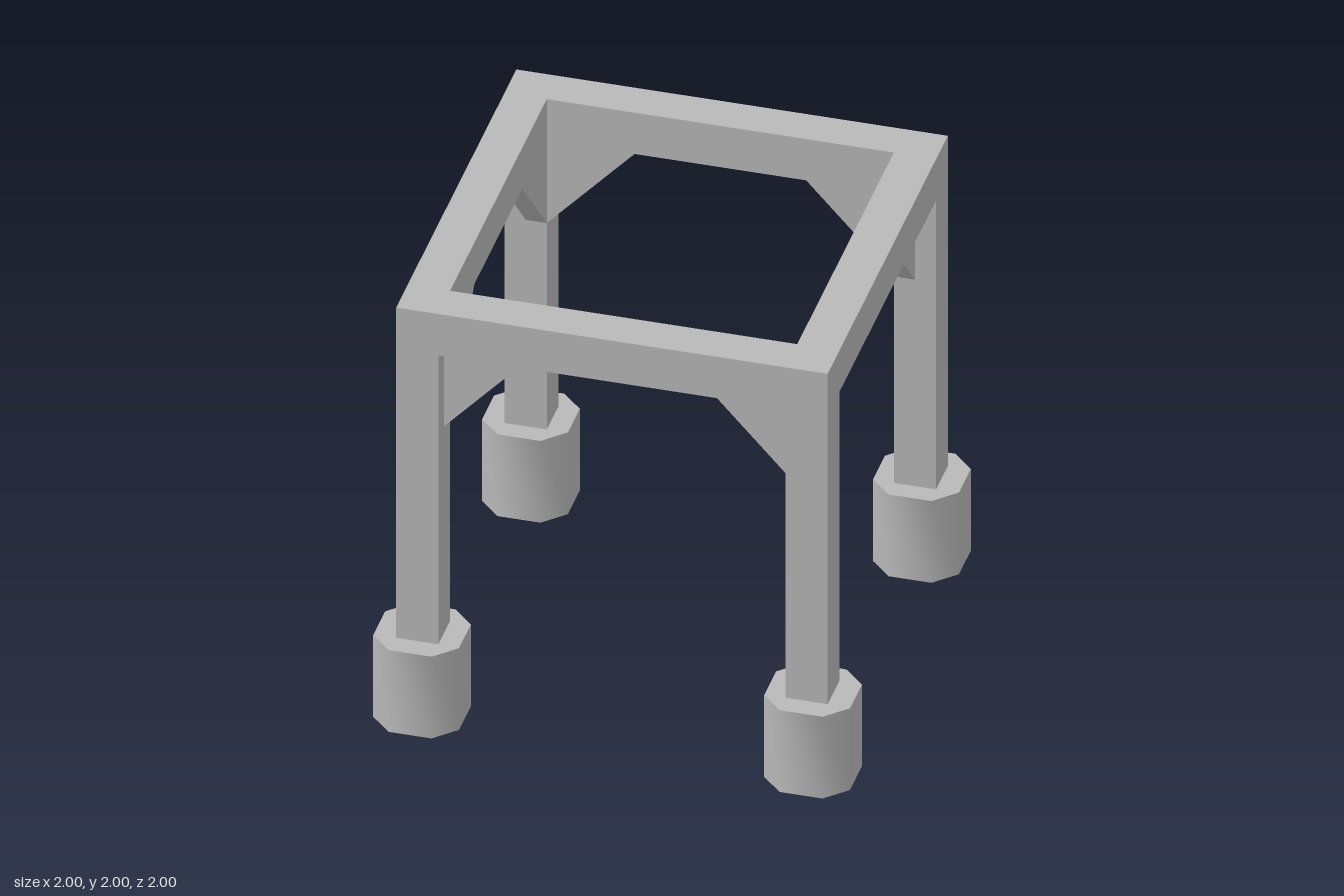
import * as THREE from 'three';
import { toCreasedNormals } from 'three/addons/utils/BufferGeometryUtils.js';

const OUT = 0.905, IN = 0.728;          // outer and inner faces of posts and beams
const MID = (OUT + IN) / 2, W = OUT - IN;
const BEAM_Y = 1.8, TOP = 2;

const polygon = (pts) => new THREE.Shape(pts.map(([x, y]) => new THREE.Vector2(x, y)));
const square = (r) => [[-r, -r], [r, -r], [r, r], [-r, r]];
const extrude = (shape, depth) =>
  new THREE.ExtrudeGeometry(shape, { depth, bevelEnabled: false });

export function createModel() {
  const model = new THREE.Group();
  const grey = new THREE.MeshStandardMaterial({ color: 0xb8b8b8 });
  grey.name = 'grey';

  const add = (parent, geometry, name) => {
    const mesh = new THREE.Mesh(geometry, grey);
    mesh.name = name;
    parent.add(mesh);
    return mesh;
  };

  // Square top frame of four beams
  const ring = polygon(square(OUT));
  ring.holes.push(polygon(square(IN).reverse()));
  const frame = extrude(ring, TOP - BEAM_Y).rotateX(-Math.PI / 2).translate(0, BEAM_Y, 0);
  add(model, frame, 'topFrame');

  // Square post
  const post = new THREE.BoxGeometry(W, BEAM_Y, W).translate(MID, BEAM_Y / 2, MID);

  // Eight-sided foot, smooth around the sides with sharp rims
  const a = 0.18, b = 0.09;
  const octagon = polygon([[a, -b], [a, b], [b, a], [-b, a], [-a, b], [-a, -b], [-b, -a], [b, -a]]);
  const foot = toCreasedNormals(
    extrude(octagon, 0.396).rotateX(-Math.PI / 2).translate(0.82, 0.004, 0.82), 1);

  // Triangular braces, flush with the inner face of the beam
  const brace = (s) => extrude(
    polygon([[s * IN, BEAM_Y], [s * 0.36, BEAM_Y], [s * IN, 1.4]]), W / 2).translate(0, 0, IN);
  const leftBrace = brace(1), rightBrace = brace(-1);

  // One post, foot and pair of braces for each side
  ['front', 'left', 'back', 'right'].forEach((side, i) => {
    const group = new THREE.Group();
    group.name = side + 'Side';
    group.rotation.y = i * Math.PI / 2;
    add(group, post, 'post');
    add(group, foot, 'foot');
    add(group, leftBrace, 'brace');
    add(group, rightBrace, 'brace');
    model.add(group);
  });

  return model;
}
